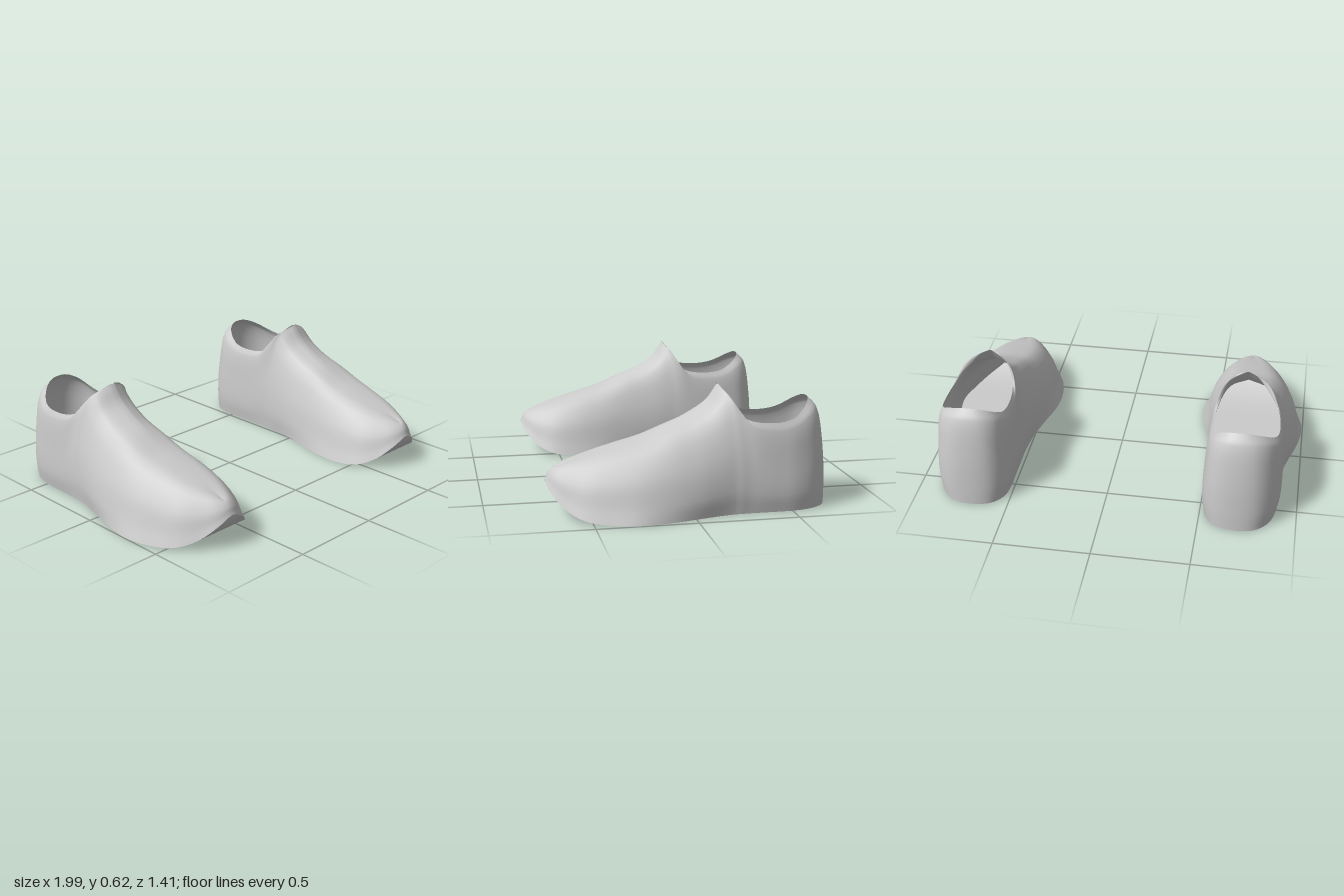
import * as THREE from 'three';
import { mergeVertices } from 'three/addons/utils/BufferGeometryUtils.js';

// Ribs from toe tip round to heel:
// [sole z, top z, sole y, top y, outer sole x, inner sole x, outer top x, inner top x]
const MID = 0.69;
const RIBS = [
  [0.705, 0.64, 0.17, 0.235, 0.68, 0.68, MID, MID],
  [0.69, 0.6, 0.13, 0.25, 0.755, 0.6, MID, MID],
  [0.63, 0.53, 0.06, 0.275, 0.835, 0.52, MID, MID],
  [0.54, 0.43, 0.015, 0.305, 0.915, 0.455, MID, MID],
  [0.42, 0.31, 0, 0.34, 0.965, 0.43, MID, MID],
  [0.28, 0.2, 0, 0.375, 0.997, 0.434, MID, MID],
  [0.12, 0.09, 0, 0.43, 0.985, 0.465, MID, MID],
  [-0.02, 0, 0, 0.475, 0.955, 0.49, MID, MID],
  [-0.12, -0.1, 0, 0.54, 0.93, 0.5, MID, MID],
  [-0.2, -0.155, 0, 0.615, 0.915, 0.505, MID, MID],
  [-0.24, -0.165, 0, 0.605, 0.913, 0.505, 0.73, 0.64],
  [-0.28, -0.195, 0, 0.55, 0.91, 0.505, 0.79, 0.585],
  [-0.34, -0.26, 0, 0.468, 0.91, 0.505, 0.86, 0.55],
  [-0.42, -0.4, 0, 0.445, 0.91, 0.505, 0.88, 0.54],
  [-0.52, -0.5, 0, 0.46, 0.905, 0.505, 0.865, 0.55],
  [-0.62, -0.58, 0, 0.51, 0.87, 0.525, 0.8, 0.59],
  [-0.685, -0.61, 0, 0.535, 0.8, 0.59, 0.74, 0.64],
  [-0.705, -0.617, 0, 0.54, 0.7, 0.7, MID, MID],
];
const LAST = RIBS.length - 1;
const PEAK = 9;                 // rib where the instep opens into the collar
const STEP = 4;                 // subdivisions between ribs
const N = LAST * 2 * STEP;      // points round one ring
const LEVELS = 16;
const RISE = [0, 0.2, 0.55, 0.91, 1];           // height fractions up a rib
const DOME = [1, 0.91, 0.77, 0.44, 0];          // spread over the forefoot
const WALL = [1, 0.99, 0.88, 0.5, 0];           // spread round the ankle
const { lerp, smoothstep } = THREE.MathUtils;

// One point of a rib at control level k, on the outer or inner side
function ribPoint(rib, k, inner) {
  const [zb, zt, yb, yt, outX, inX, outT, inT] = rib;
  const ankle = 1 - smoothstep(zb, -0.15, 0.3);
  const f = lerp(DOME[k], WALL[k], ankle);
  const tuck = k === 0 ? 1 - 0.07 * ankle : 1;  // walls turn in under the rear
  const xb = lerp(MID, inner ? inX : outX, tuck);
  return new THREE.Vector3(lerp(inner ? inT : outT, xb, f), lerp(yb, yt, RISE[k]), lerp(zt, zb, f));
}

function buildGeometry(points, index) {
  const geo = new THREE.BufferGeometry();
  geo.setAttribute('position', new THREE.Float32BufferAttribute(points.flatMap((p) => [p.x, p.y, p.z]), 3));
  geo.setIndex(index);
  const merged = mergeVertices(geo, 1e-4);
  merged.computeVertexNormals();
  return merged;
}

function shoeGeometries() {
  // Smooth closed ring at each control level
  const rings = RISE.map((_, k) => {
    const loop = RIBS.map((r) => ribPoint(r, k, false));
    for (let i = LAST - 1; i > 0; i--) loop.push(ribPoint(RIBS[i], k, true));
    const curve = new THREE.CatmullRomCurve3(loop, true, 'centripetal');
    return Array.from({ length: N }, (_, i) => curve.getPoint(i / N));
  });
  // Close the instep ridge along the centre line
  const top = rings[RISE.length - 1];
  for (let i = 0; i <= PEAK * STEP; i++) {
    top[i].x = MID;
    if (i > 0) top[N - i].copy(top[i]);
  }

  // Upper: smooth curve up every column
  const points = [], index = [];
  for (let i = 0; i < N; i++) {
    const column = new THREE.CatmullRomCurve3(rings.map((r) => r[i]));
    for (let j = 0; j <= LEVELS; j++) points.push(column.getPoint(j / LEVELS));
    for (let j = 0; j < LEVELS; j++) {
      const a = i * (LEVELS + 1) + j, b = ((i + 1) % N) * (LEVELS + 1) + j;
      index.push(a, b, b + 1, a, b + 1, a + 1);
    }
  }

  // Sole: strips across from outer to inner edge
  const soleIndex = [];
  for (let i = 0; i < N / 2; i++) {
    const a = i, b = i + 1, c = (N - i) % N, d = N - i - 1;
    if (i > 0) soleIndex.push(a, c, b);
    if (i < N / 2 - 1) soleIndex.push(b, c, d);
  }
  return { upper: buildGeometry(points, index), sole: buildGeometry(rings[0], soleIndex) };
}

export function createModel() {
  const model = new THREE.Group();
  model.name = 'pairOfShoes';
  const material = new THREE.MeshStandardMaterial({ color: 0xcccccc, side: THREE.DoubleSide });
  const parts = shoeGeometries();
  for (const [name, side] of [['leftShoe', 1], ['rightShoe', -1]]) {
    const shoe = new THREE.Group();
    shoe.name = name;
    for (const part of ['upper', 'sole']) {
      const mesh = new THREE.Mesh(parts[part], material);
      mesh.name = part;
      shoe.add(mesh);
    }
    shoe.scale.x = side;
    model.add(shoe);
  }
  return model;
}
